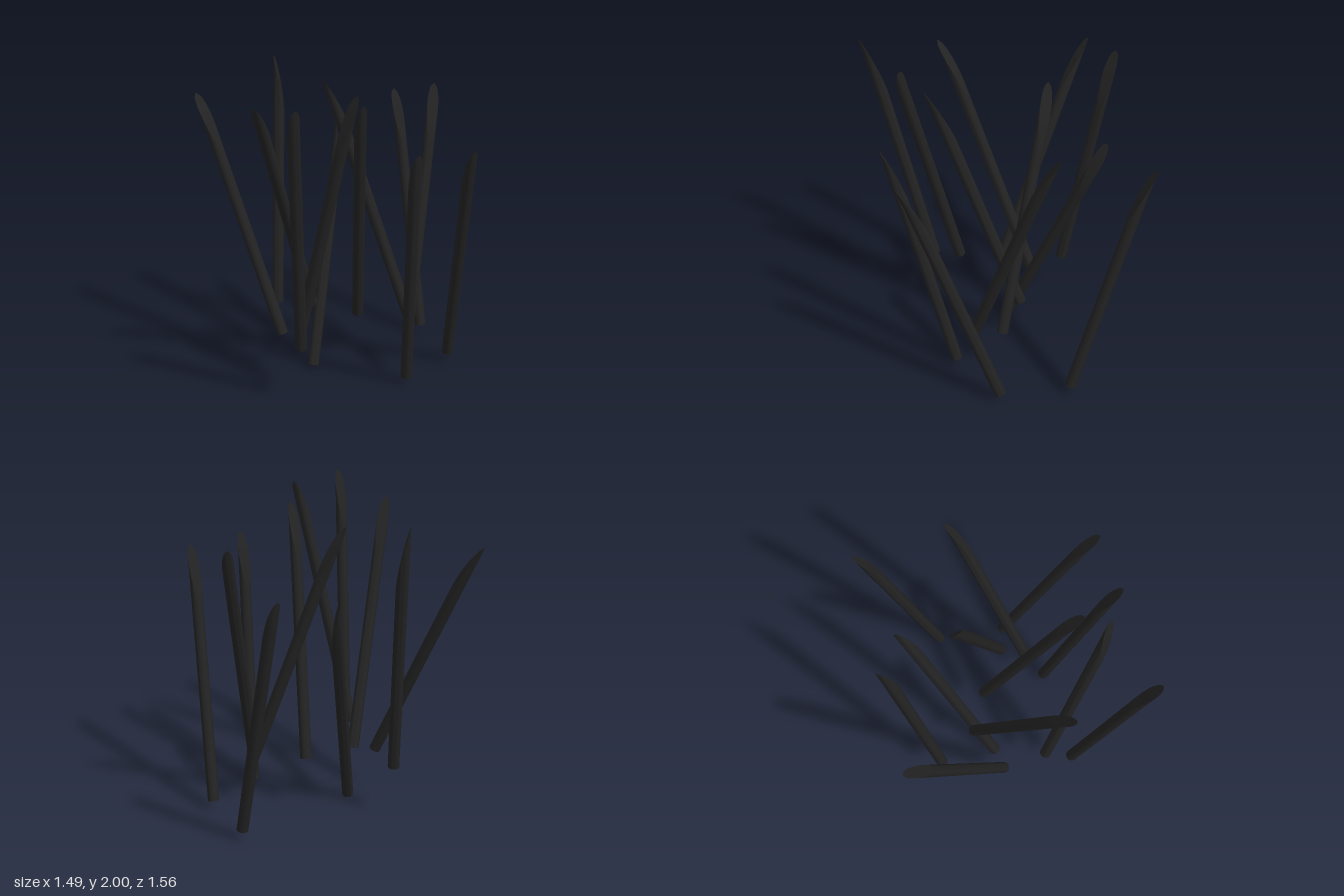
import * as THREE from 'three';
import { toCreasedNormals } from 'three/addons/utils/BufferGeometryUtils.js';

const R = 0.037;      // stake radius
const CUT = 0.4;      // length of the slanted cut
const ROWS = 18;

// base point, tip point, and horizontal direction (x, z) of the side that keeps the point
const STAKES = [
  [[-0.42, 0.285, -0.10], [-0.73, 1.78, -0.77], [-0.2, -1]],
  [[-0.29, 0.34, -0.50], [-0.18, 1.98, -0.775], [-0.8, -0.6]],
  [[0.70, 0.07, -0.29], [0.705, 1.67, -0.76], [0, -1]],
  [[-0.20, 0.014, -0.11], [0.20, 1.56, -0.62], [-0.9, -0.4]],
  [[-0.15, 0.405, -0.24], [-0.72, 1.90, 0.245], [-0.7, 0.7]],
  [[0.40, 0.345, 0.09], [-0.04, 1.90, -0.305], [-1, 0]],
  [[0.305, 0.27, 0.265], [0.705, 1.83, -0.18], [0.3, -0.95]],
  [[0.12, 0.34, -0.10], [-0.11, 1.90, 0.46], [0, 1]],
  [[-0.42, 0.385, 0.19], [-0.205, 2.0, 0.58], [0.9, -0.4]],
  [[-0.48, 0.385, 0.355], [-0.665, 2.0, 0.755], [0, 1]],
  [[0.25, 0.05, 0.365], [0.095, 1.66, 0.775], [0, 1]],
  [[0.66, 0.065, 0.17], [0.485, 1.63, 0.745], [0, 1]],
];

// Cylinder standing on its base, shaved on +z down to a point at -z
function stakeGeometry(length) {
  const g = new THREE.CylinderGeometry(R, R, 1, 24, ROWS);
  const p = g.attributes.position;
  for (let i = 0; i < p.count; i++) {
    const row = Math.round((p.getY(i) + 0.5) * ROWS);
    const t = row === 0 ? 0 : (row - 1) / (ROWS - 1);
    const y = row === 0 ? 0 : length - CUT * (1 - t);
    const limit = R * (1 - 2 * Math.pow(t, 1.4));
    let x = p.getX(i), z = p.getZ(i);
    if (z > limit) {
      const half = Math.sqrt(Math.max(0, R * R - limit * limit));
      z = limit;
      x = THREE.MathUtils.clamp(x, -half, half);
    }
    p.setXYZ(i, x, y, z);
  }
  return toCreasedNormals(g, 0.6);
}

export function createModel() {
  const model = new THREE.Group();
  model.name = 'sharpenedStakes';
  const material = new THREE.MeshStandardMaterial({ color: 0x222222 });

  STAKES.forEach(([b, t, d], i) => {
    const base = new THREE.Vector3(...b);
    const tip = new THREE.Vector3(...t);
    const axis = tip.clone().sub(base).normalize();
    const side = new THREE.Vector3(d[0], 0, d[1]);
    side.addScaledVector(axis, -side.dot(axis)).normalize();

    // the point sits on the rim, so the axis ends one radius away from it
    axis.copy(tip).addScaledVector(side, -R).sub(base);
    const length = axis.length();
    axis.normalize();
    const zAxis = side.addScaledVector(axis, -side.dot(axis)).normalize().negate();
    const xAxis = new THREE.Vector3().crossVectors(axis, zAxis);

    const stake = new THREE.Mesh(stakeGeometry(length), material);
    stake.name = `stake${i + 1}`;
    stake.quaternion.setFromRotationMatrix(new THREE.Matrix4().makeBasis(xAxis, axis, zAxis));
    stake.position.copy(base);
    model.add(stake);
  });
  return model;
}
